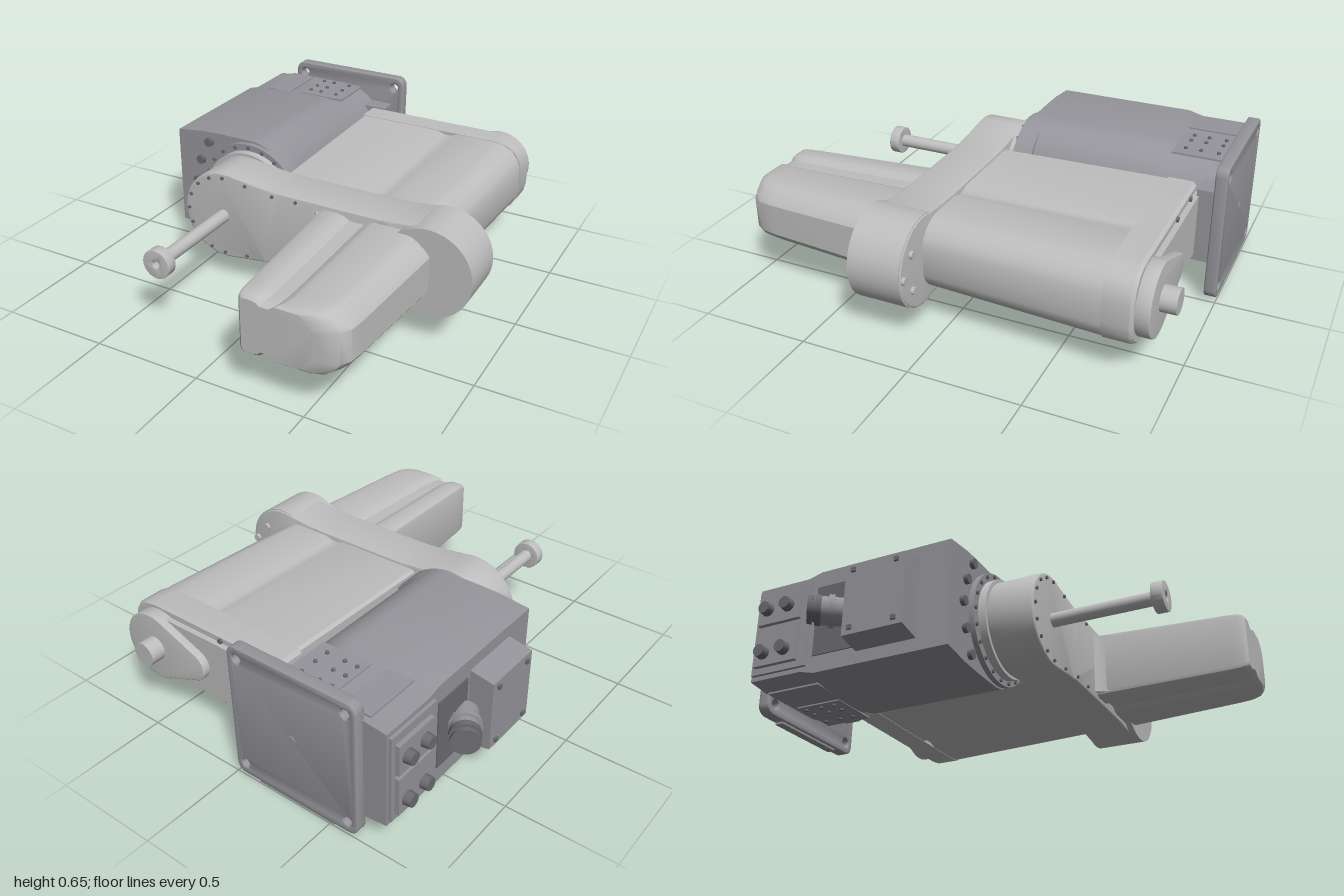
import * as THREE from 'three';
import { toCreasedNormals } from 'three/addons/utils/BufferGeometryUtils.js';

const CY = 0.335; // height of the main horizontal symmetry plane

export function createModel() {
  const root = new THREE.Group();
  const mat = (name, color) => Object.assign(new THREE.MeshStandardMaterial({ color }), { name });
  const light = mat('light grey paint', 0xbebebe);
  const base = mat('base grey paint', 0x96959b);
  const dark = mat('dark fittings', 0x6c6b70);

  const add = (name, geo, material, x = 0, y = 0, z = 0) => {
    const m = new THREE.Mesh(geo, material);
    m.name = name;
    m.position.set(x, y, z);
    root.add(m);
    return m;
  };
  const box = (name, material, x0, x1, y0, y1, z0, z1) =>
    add(name, new THREE.BoxGeometry(x1 - x0, y1 - y0, z1 - z0), material, (x0 + x1) / 2, (y0 + y1) / 2, (z0 + z1) / 2);
  // Cylinder lying along z
  const rod = (name, material, r, x, y, z0, z1, seg = 40) =>
    add(name, new THREE.CylinderGeometry(r, r, z1 - z0, seg).rotateX(Math.PI / 2), material, x, y, (z0 + z1) / 2);
  // Extrusion along z with an optional bevel kept inside the outline
  const slab = (name, material, shape, z0, z1, bevel = 0) => {
    const g = new THREE.ExtrudeGeometry(shape, {
      depth: z1 - z0 - 2 * bevel, bevelEnabled: bevel > 0, bevelSize: bevel,
      bevelThickness: bevel, bevelOffset: -bevel, bevelSegments: 3, curveSegments: 24,
    });
    return add(name, toCreasedNormals(g, 0.6), material, 0, 0, z0 + bevel);
  };
  // Half outline [x, h] left to right -> closed ring mirrored about CY
  const mirrorRing = (half) => {
    const low = half.map(([x, h]) => new THREE.Vector2(x, CY - h));
    const top = half.filter(([, h]) => h > 0.0005).map(([x, h]) => new THREE.Vector2(x, CY + h)).reverse();
    return low.concat(top);
  };
  // Skin through rings [z, points] in ascending z, with end caps
  const loft = (name, material, rings, crease = 0.5) => {
    const pos = [];
    const put = (p, z) => pos.push(p.x, p.y, z);
    for (let s = 0; s < rings.length - 1; s++) {
      const [z0, A] = rings[s], [z1, B] = rings[s + 1];
      for (let i = 0; i < A.length; i++) {
        const j = (i + 1) % A.length;
        put(A[i], z0); put(A[j], z0); put(B[j], z1);
        put(A[i], z0); put(B[j], z1); put(B[i], z1);
      }
    }
    const [zb, back] = rings[0], [zf, front] = rings[rings.length - 1];
    for (const [a, b, c] of THREE.ShapeUtils.triangulateShape(back, [])) {
      put(back[a], zb); put(back[c], zb); put(back[b], zb);
      put(front[a], zf); put(front[b], zf); put(front[c], zf);
    }
    const g = new THREE.BufferGeometry();
    g.setAttribute('position', new THREE.Float32BufferAttribute(pos, 3));
    return add(name, toCreasedNormals(g, crease), material);
  };

  // ---- Mounting plate with four bolt holes
  const plate = new THREE.Shape();
  const [px0, px1, py0, py1, pr] = [-0.64, 0, 0.01, 0.655, 0.045];
  plate.absarc(px1 - pr, py1 - pr, pr, 0, Math.PI / 2);
  plate.absarc(px0 + pr, py1 - pr, pr, Math.PI / 2, Math.PI);
  plate.absarc(px0 + pr, py0 + pr, pr, Math.PI, Math.PI * 1.5);
  plate.absarc(px1 - pr, py0 + pr, pr, Math.PI * 1.5, Math.PI * 2);
  for (const x of [-0.59, -0.05]) for (const y of [0.065, 0.6])
    plate.holes.push(new THREE.Path().absarc(x, y, 0.022, 0, Math.PI * 2, true));
  slab('mountingPlate', base, plate, -1, -0.945, 0.006);
  box('plateFoot', base, -0.52, -0.12, 0, 0.02, -0.995, -0.955);
  rod('plateCentreBoss', base, 0.02, -0.32, CY, -1.004, -0.99, 24);

  // ---- Base body: flat cable side on the left, rounded on the other
  const bodyRing = (h) => {
    const half = [[-0.75, h * 0.92], [-0.61, h * 0.985], [-0.5, h]];
    for (let i = 0; i <= 18; i++) {
      const t = (i / 18) * Math.PI / 2;
      half.push([-0.34 + 0.228 * Math.sin(t), h * Math.cos(t)]);
    }
    return mirrorRing(half);
  };
  loft('baseBody', base, [[-0.96, bodyRing(0.245)], [-0.7, bodyRing(0.245)], [-0.63, bodyRing(0.265)], [0.02, bodyRing(0.265)]]);
  box('baseGusset', base, -0.3, -0.06, 0.16, 0.51, -0.95, -0.86);
  for (const s of [1, -1]) {
    // Access plates with screws on the upper and lower faces
    const y = CY + s * 0.247;
    box('accessPlate', base, -0.47, -0.23, y - 0.004, y + 0.004, -0.92, -0.69);
    box('sidePanel', base, -0.66, -0.53, y - 0.005, y + 0.003, -0.935, -0.67);
    for (const x of [-0.44, -0.38, -0.29]) for (const z of [-0.89, -0.81, -0.74])
      add('accessScrew', new THREE.CylinderGeometry(0.009, 0.009, 0.016, 12), dark, x, y + s * 0.004, z);
  }

  // ---- Cable side: tapered box, panels, sockets and angled connector
  const tapered = (w) => [[-0.86, 0.165 * w], [-0.74, 0.188 * w]];
  loft('cableBox', base, [[-0.42, mirrorRing(tapered(1))], [-0.13, mirrorRing(tapered(1))]]);
  for (const y of [0.2, 0.47]) for (const z of [-0.38, -0.17])
    box('cableBoxScrew', dark, -0.87, -0.855, y - 0.01, y + 0.01, z - 0.01, z + 0.01);
  box('connectorPanel', base, -0.765, -0.74, 0.13, 0.54, -0.95, -0.67);
  box('socketPanel', base, -0.785, -0.76, 0.16, 0.34, -0.93, -0.71);
  box('interfacePanel', base, -0.785, -0.76, 0.36, 0.5, -0.93, -0.71);
  box('connectorRecess', dark, -0.756, -0.748, 0.17, 0.5, -0.64, -0.44);
  for (const [y, z] of [[0.22, -0.88], [0.22, -0.77], [0.43, -0.88], [0.43, -0.77]])
    add('socket', new THREE.CylinderGeometry(0.028, 0.032, 0.04, 20).rotateZ(Math.PI / 2), dark, -0.8, y, z);
  const connector = new THREE.Group();
  connector.name = 'cableConnector';
  for (const [r, len, c] of [[0.062, 0.13, 0.03], [0.072, 0.025, 0.045], [0.052, 0.05, 0.11], [0.066, 0.025, 0.1], [0.062, 0.02, 0.135]]) {
    const m = new THREE.Mesh(new THREE.CylinderGeometry(r, r, len, 28), c > 0.09 ? dark : base);
    m.name = 'connectorRing';
    m.position.y = c;
    connector.add(m);
  }
  connector.position.set(-0.775, CY, -0.485);
  connector.rotation.z = Math.PI / 2; // axis to -x
  connector.rotation.order = 'YXZ';
  connector.rotation.y = -0.95; // swing towards the back
  root.add(connector);

  // ---- Shoulder joint between base and arm
  rod('shoulderFlange', base, 0.255, -0.335, CY, -0.05, 0.045, 64);
  rod('shoulderRing', light, 0.225, -0.325, CY, 0.04, 0.08, 64);
  for (let i = 0; i < 20; i++) {
    const a = (i / 20) * Math.PI * 2;
    rod('flangeBolt', dark, 0.009, -0.335 + 0.24 * Math.cos(a), CY + 0.24 * Math.sin(a), 0.04, 0.053, 10);
  }
  for (const [x, y] of [[-0.57, 0.12], [-0.62, 0.22], [-0.645, CY], [-0.62, 0.45], [-0.57, 0.55]])
    rod('baseBolt', dark, 0.022, x, y, 0.015, 0.04, 16);

  // ---- Link arm: round shoulder, narrow waist, round elbow
  const linkShape = (r, waist, R) => {
    const s = new THREE.Shape();
    s.absarc(-0.32, CY, r, Math.PI * 0.45, Math.PI * 1.55);
    s.bezierCurveTo(-0.15, CY - r * 0.92, -0.12, CY - waist, 0.04, CY - waist);
    s.lineTo(0.4, CY - waist);
    s.bezierCurveTo(0.5, CY - waist, 0.56, CY - R * 0.92, 0.69 - R * 0.2, CY - R * 0.98);
    s.absarc(0.69, CY, R, -Math.PI * 0.564, Math.PI * 0.564);
    s.bezierCurveTo(0.56, CY + R * 0.92, 0.5, CY + waist, 0.4, CY + waist);
    s.lineTo(0.04, CY + waist);
    s.bezierCurveTo(-0.12, CY + waist, -0.15, CY + r * 0.92, -0.32 + r * 0.156, CY + r * 0.988);
    return s;
  };
  slab('linkArm', light, linkShape(0.212, 0.182, 0.203), 0.075, 0.29, 0.008);
  rod('elbowCover', light, 0.206, 0.692, CY, 0.08, 0.32, 64);
  for (let i = 0; i < 9; i++) {
    const a = Math.PI * (0.5 + i / 8);
    rod('coverScrew', dark, 0.008, -0.32 + 0.19 * Math.cos(a), CY + 0.19 * Math.sin(a), 0.285, 0.298, 10);
  }
  for (const x of [-0.2, -0.06, 0.06]) for (const s of [1, -1])
    rod('coverScrew', dark, 0.008, x, CY + s * (x < -0.1 ? 0.178 : 0.16), 0.285, 0.298, 10);
  for (const [x, y] of [[0.8, 0.42], [0.8, 0.25], [0.87, CY]])
    rod('elbowBolt', light, 0.018, x, y, 0.06, 0.085, 14);
  // Fillet where the link meets the front housing
  const fillet = new THREE.Shape();
  fillet.moveTo(0.13, 0.28);
  fillet.quadraticCurveTo(0.175, 0.285, 0.185, 0.36);
  fillet.lineTo(0.25, 0.36);
  fillet.lineTo(0.25, 0.28);
  const filletGeo = new THREE.ExtrudeGeometry(fillet, { depth: 0.29, bevelEnabled: false });
  add('housingFillet', toCreasedNormals(filletGeo.rotateX(Math.PI / 2), 0.5), light, 0, CY + 0.145, 0);

  // ---- Front housing with a shallow channel above and below
  const frontProfile = [[0, 0.85], [0.01, 0.95], [0.04, 1], [0.17, 1], [0.22, 0.97], [0.27, 0.86], [0.4, 0.86],
    [0.45, 0.96], [0.49, 1], [0.8, 1], [0.85, 0.96], [0.9, 0.85], [0.97, 0.65], [1, 0.5]];
  const frontRing = (xl, xr, h) => mirrorRing(frontProfile.map(([u, v]) => [xl + u * (xr - xl), v * h]));
  loft('frontHousing', light, [
    [0.2, frontRing(0.175, 0.715, 0.162)], [0.85, frontRing(0.203, 0.67, 0.144)], [0.92, frontRing(0.206, 0.66, 0.142)],
    [0.965, frontRing(0.208, 0.635, 0.138)], [0.985, frontRing(0.212, 0.6, 0.132)], [0.998, frontRing(0.225, 0.54, 0.12)],
  ]);

  // ---- Rear housing, broader, with the same channel
  const rearRing = (xr, h) => mirrorRing([[-0.12, h * 0.94], [-0.105, h], [0.3, h], [0.34, h * 0.92], [0.37, h * 0.92],
    [0.41, h], [0.59, h], [xr - 0.09, h * 0.96], [xr - 0.045, h * 0.82], [xr - 0.015, h * 0.62], [xr, h * 0.4]]);
  loft('rearHousing', light, [[-0.73, rearRing(0.738, 0.18)], [0.1, rearRing(0.705, 0.166)]]);

  // ---- End cap, pivot plate and stub shaft at the back
  const capRing = (g) => mirrorRing([[-0.13 + g, 0.165 - g], [-0.115 + g, 0.182 - g], [0.6, 0.182 - g], [0.66, 0.172 - g],
    [0.71 - g, 0.14 - g / 2], [0.735 - g, 0.1], [0.745 - g, 0.05]]);
  loft('rearCap', light, [[-0.845, capRing(0.012)], [-0.83, capRing(0)], [-0.715, capRing(0)]]);
  box('capRim', light, -0.1, 0.56, 0.19, 0.48, -0.87, -0.84);
  for (const x of [0, 0.2]) for (const s of [1, -1])
    rod('capScrew', dark, 0.012, x, CY + s * 0.155, -0.855, -0.84, 12);
  const pivot = new THREE.Shape();
  pivot.absarc(0.57, CY, 0.16, -Math.PI * 0.6, Math.PI * 0.6);
  pivot.absarc(0.33, CY, 0.07, Math.PI * 0.62, Math.PI * 1.38);
  slab('pivotPlate', light, pivot, -0.905, -0.835, 0.004);
  rod('stubShaft', light, 0.056, 0.555, CY, -0.975, -0.9);

  // ---- Spindle and tool flange on the shoulder axis
  rod('spindle', light, 0.031, -0.323, CY, 0.28, 0.76, 32);
  const ring = new THREE.Shape().absarc(-0.323, CY, 0.067, 0, Math.PI * 2);
  ring.holes.push(new THREE.Path().absarc(-0.323, CY, 0.018, 0, Math.PI * 2, true));
  slab('toolFlange', light, ring, 0.75, 0.8, 0.003);

  return root;
}
